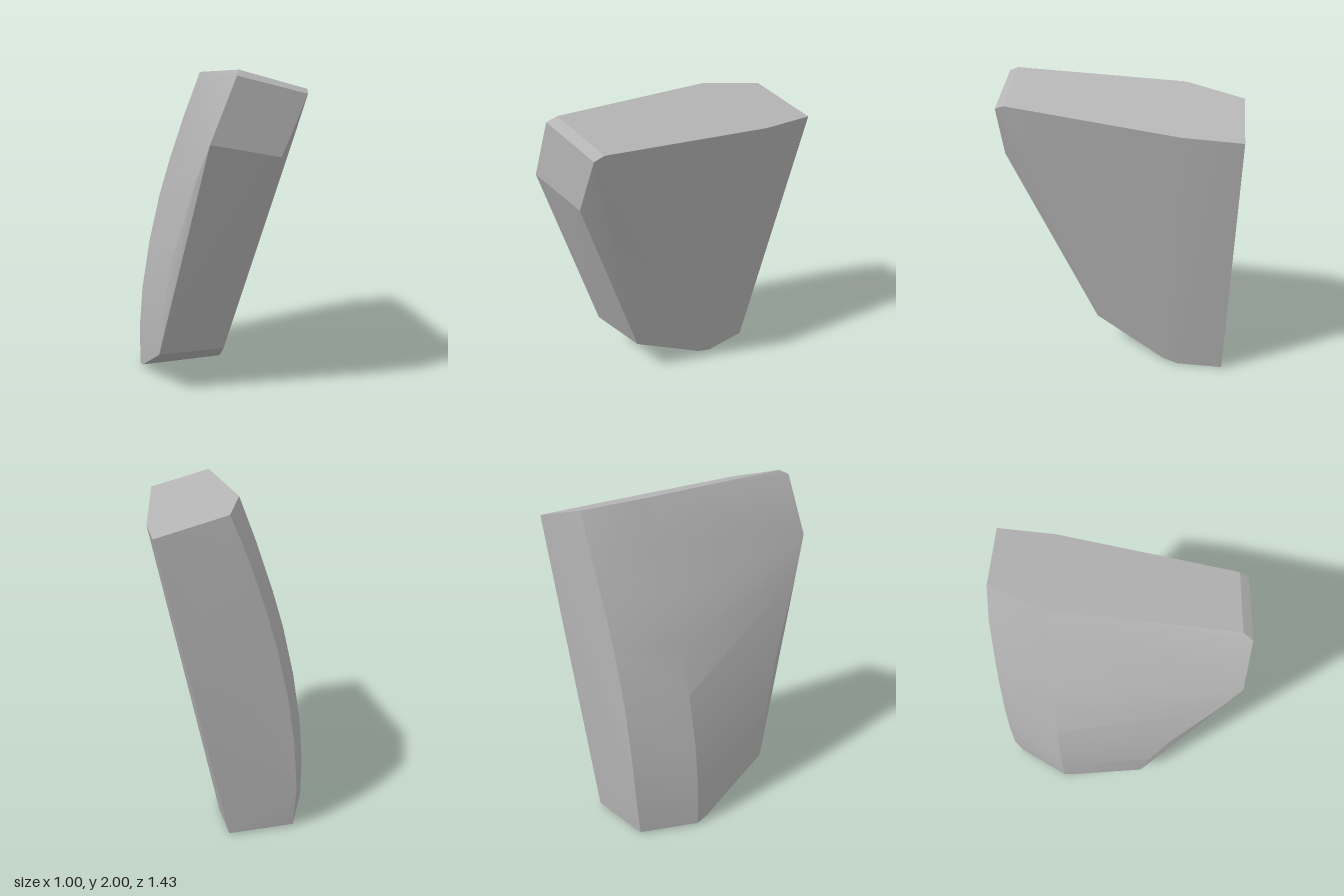
import * as THREE from 'three';
import { ConvexGeometry } from 'three/addons/geometries/ConvexGeometry.js';
import { toCreasedNormals } from 'three/addons/utils/BufferGeometryUtils.js';

export function createModel() {
  const group = new THREE.Group();
  group.name = 'leaningBlock';
  const stone = new THREE.MeshStandardMaterial({ color: 0xb4b4b4 });
  stone.name = 'stone grey';

  // Corner lines of the convex block, as [x, y, z]
  const lines = {
    // curved ridge on the -x side, where the rear bevel begins
    bevelRidge: [[-0.5, 0.01, -0.36], [-0.5, 0.27, -0.36], [-0.475, 0.55, -0.36], [-0.42, 0.87, -0.36],
      [-0.345, 1.18, -0.36], [-0.27, 1.42, -0.36], [-0.17, 1.7, -0.36], [-0.06, 1.976, -0.36]],
    // same curve at the back face
    backRidge: [[-0.33, 0.01, -0.68], [-0.335, 0.27, -0.71], [-0.31, 0.55, -0.715], [-0.26, 0.87, -0.715],
      [-0.185, 1.18, -0.715], [-0.11, 1.42, -0.715], [-0.01, 1.7, -0.715], [0.09, 1.937, -0.7]],
    // bowed edge beside the sloping front face
    frontEdge: [[-0.5, 0.27, 0.19], [-0.488, 0.55, 0.24], [-0.45, 0.93, 0.37], [-0.38, 1.39, 0.6], [-0.33, 1.61, 0.715]],
    // flat nose and the small bevel above it
    nose: [[0.08, 1.53, 0.715], [0.23, 1.87, 0.715], [-0.18, 1.97, 0.715], [-0.15, 2, 0.66], [0.25, 1.895, 0.66]],
    // +x side
    side: [[-0.08, 0.265, 0.19], [0.47, 1.838, -0.36], [0.5, 1.83, -0.7], [0.075, 0.01, -0.68]],
    // rounded toe and foot
    foot: [[-0.5, 0.03, -0.28], [0.045, 0.03, -0.28], [0.055, 0, -0.38]],
  };
  const points = Object.values(lines).flat().map((p) => new THREE.Vector3(...p));

  const block = new THREE.Mesh(toCreasedNormals(new ConvexGeometry(points), 0.35), stone);
  block.name = 'block';
  group.add(block);
  return group;
}
